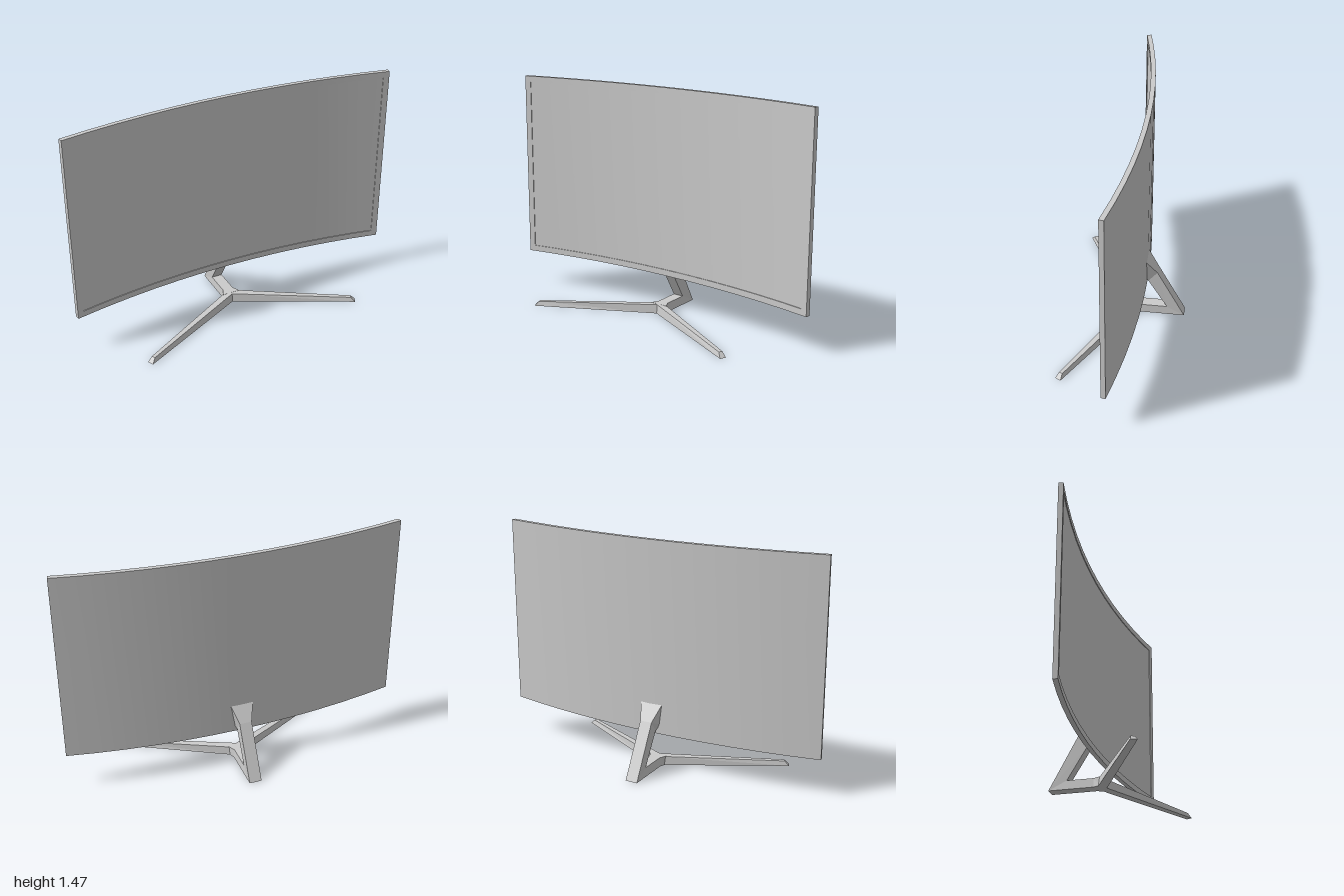
import * as THREE from 'three';
import { toCreasedNormals } from 'three/addons/utils/BufferGeometryUtils.js';

const material = new THREE.MeshStandardMaterial({ color: 0xcccccc });

// Panel curve: front radius, half angle, and the centre of the arc
const R = 5.247, HALF = 0.2098, CX = 0.012, CZ = R - 0.046;
const Y0 = 0.24, Y1 = 1.47, BEZEL = 0.04, LIP = 0.005, DEPTH = 0.03;

function addMesh(parent, name, geometry) {
  const mesh = new THREE.Mesh(geometry, material);
  mesh.name = name;
  parent.add(mesh);
}

// Upright curved slab between two radii, two angles and two heights
function arcBand(r0, r1, a0, a1, y0, y1) {
  const n = Math.max(1, Math.round((a1 - a0) / HALF * 6));
  const at = (r, a) => new THREE.Vector2(CX + r * Math.sin(a), r * Math.cos(a) - CZ);
  const pts = [];
  for (let i = 0; i <= n; i++) pts.push(at(r0, a0 + (a1 - a0) * i / n));
  for (let i = n; i >= 0; i--) pts.push(at(r1, a0 + (a1 - a0) * i / n));
  const geo = new THREE.ExtrudeGeometry(new THREE.Shape(pts), { depth: y1 - y0, bevelEnabled: false });
  geo.rotateX(-Math.PI / 2).translate(0, y0, 0);
  return toCreasedNormals(geo, 0.5);
}

// Flat-sided bar through a list of four-cornered cross-sections
function loft(rings) {
  const pos = [];
  const quad = (a, b, c, d) => pos.push(...a, ...b, ...c, ...a, ...c, ...d);
  for (let k = 0; k + 1 < rings.length; k++) {
    const a = rings[k], b = rings[k + 1];
    for (let i = 0; i < 4; i++) {
      const j = (i + 1) % 4;
      quad(a[i], a[j], b[j], b[i]);
    }
  }
  const s = rings[0], e = rings[rings.length - 1];
  quad(s[0], s[3], s[2], s[1]);
  quad(e[0], e[1], e[2], e[3]);
  const geo = new THREE.BufferGeometry();
  geo.setAttribute('position', new THREE.Float32BufferAttribute(pos, 3));
  geo.computeVertexNormals();
  return geo;
}

// Leg section at distance t from the hub; side is -1, 0 (mitre) or 1
function legRing(side, t, topHalf, bottomHalf, height, pull) {
  const dx = 0.886, dz = 0.464;
  const corner = (dist, off, y) => side === 0
    ? [0, y, off]
    : [side * (dist * dx - off * dz), y, dist * dz + off * dx];
  return [
    corner(t - pull, -topHalf, height), corner(t - pull, topHalf, height),
    corner(t, bottomHalf, 0), corner(t, -bottomHalf, 0),
  ];
}

// Neck section: upper/front edge and lower/back edge, each [z, y, half width]
function neckRing([zt, yt, wt], [zb, yb, wb]) {
  return [[-wt, yt, zt], [wt, yt, zt], [wb, yb, zb], [-wb, yb, zb]];
}

export function createModel() {
  const group = new THREE.Group();
  group.name = 'curvedMonitor';
  const body = new THREE.Group();
  body.name = 'turnedMonitor';
  body.rotation.y = 0.4365;
  body.position.set(-0.03, 0, -0.12);
  group.add(body);

  // Curved panel: rear slab with a thin raised bezel around the screen
  const panel = new THREE.Group();
  panel.name = 'panel';
  body.add(panel);
  const inner = HALF - BEZEL / R;
  addMesh(panel, 'screenAndBack', arcBand(R + LIP, R + DEPTH, -HALF, HALF, Y0, Y1));
  addMesh(panel, 'bezelTop', arcBand(R, R + LIP, -HALF, HALF, Y1 - BEZEL, Y1));
  addMesh(panel, 'bezelBottom', arcBand(R, R + LIP, -HALF, HALF, Y0, Y0 + BEZEL));
  addMesh(panel, 'bezelLeft', arcBand(R, R + LIP, inner, HALF, Y0 + BEZEL, Y1 - BEZEL));
  addMesh(panel, 'bezelRight', arcBand(R, R + LIP, -HALF, -inner, Y0 + BEZEL, Y1 - BEZEL));

  // Stand: two tapered legs joined in a V at the hub
  const stand = new THREE.Group();
  stand.name = 'stand';
  body.add(stand);
  const hub = legRing(0, 0, 0.027, 0.034, 0.058, 0);
  const tip = side => legRing(side, 0.84, 0.012, 0.02, 0.03, 0.03);
  addMesh(stand, 'leftLeg', loft([hub, tip(1)]));
  // On the right the far end comes first, with front and back swapped by the mirror
  const r = tip(-1);
  addMesh(stand, 'rightLeg', loft([r, hub]));

  // Rear foot that folds up into the sloping neck and flares at the panel
  addMesh(stand, 'footAndNeck', loft([
    neckRing([0.01, 0.058, 0.06], [0.01, 0, 0.06]),
    neckRing([-0.04, 0.058, 0.036], [-0.04, 0, 0.04]),
    neckRing([-0.21, 0.058, 0.036], [-0.325, 0, 0.04]),
    neckRing([-0.085, 0.262, 0.036], [-0.143, 0.335, 0.04]),
    neckRing([-0.06, 0.3, 0.06], [-0.07, 0.44, 0.076]),
  ]));
  return group;
}
